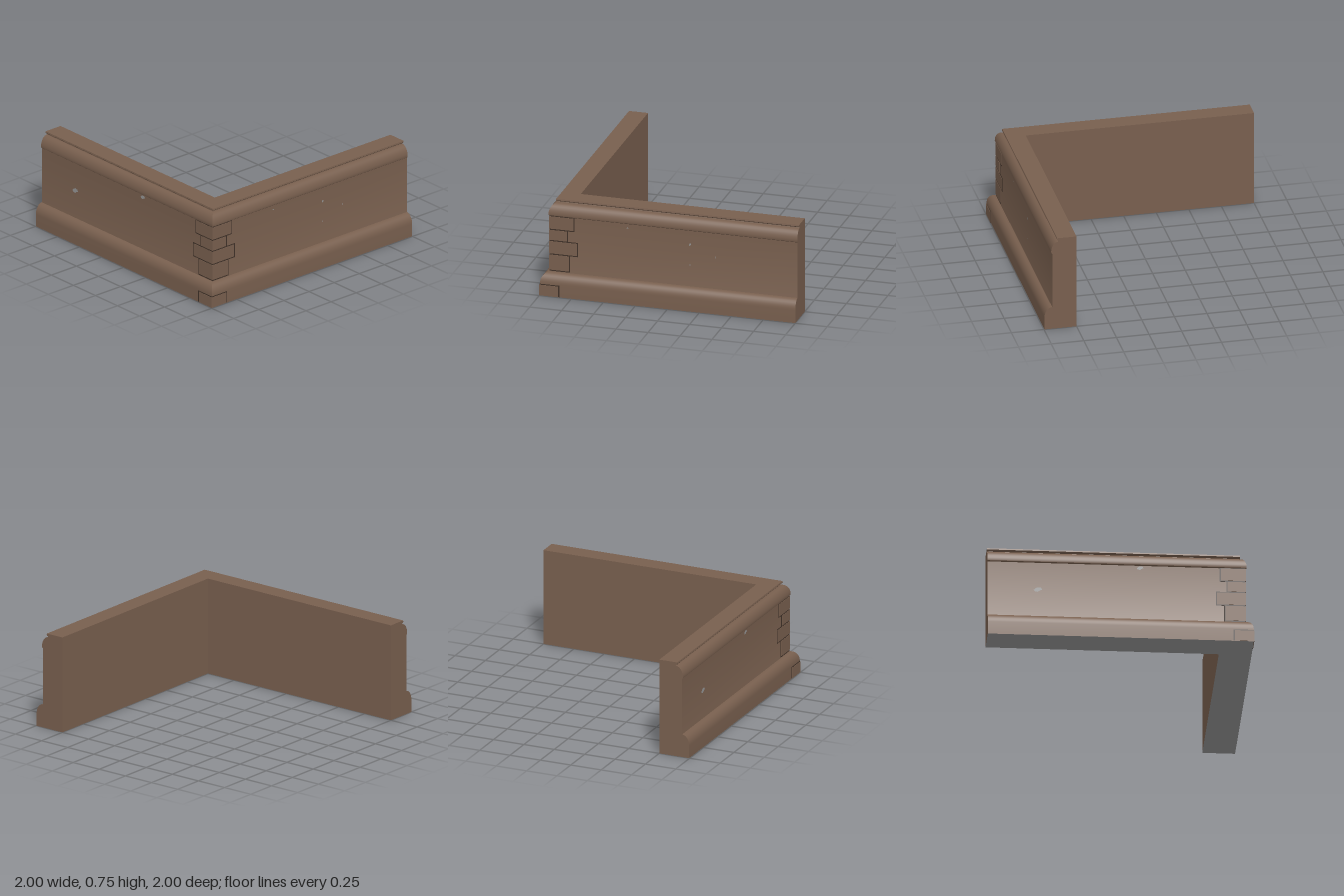
import * as THREE from 'three';
import { toCreasedNormals } from 'three/addons/utils/BufferGeometryUtils.js';

const material = (name, color, side = THREE.FrontSide) => {
  const m = new THREE.MeshStandardMaterial({ color, side });
  m.name = name;
  return m;
};

// Sweeps a profile of [outward, height] points round the mitred corner.
function sweep(profile, capped) {
  const stations = [
    ([o, y]) => [-1, y, o],
    ([o, y]) => [o, y, o],
    ([o, y]) => [o, y, -1],
  ];
  const pos = [];
  for (let s = 0; s < 2; s++) {
    for (let i = 0; i < profile.length - 1; i++) {
      const a = stations[s](profile[i]), b = stations[s + 1](profile[i]);
      const c = stations[s + 1](profile[i + 1]), d = stations[s](profile[i + 1]);
      pos.push(...a, ...b, ...c, ...a, ...c, ...d);
    }
  }
  if (capped) {
    const contour = profile.map(([o, y]) => new THREE.Vector2(o, y));
    for (const [a, b, c] of THREE.ShapeUtils.triangulateShape(contour, [])) {
      for (const i of [a, b, c]) pos.push(...stations[0](profile[i]));
      for (const i of [c, b, a]) pos.push(...stations[2](profile[i]));
    }
  }
  const g = new THREE.BufferGeometry();
  g.setAttribute('position', new THREE.Float32BufferAttribute(pos, 3));
  g.computeVertexNormals();
  return toCreasedNormals(g, 0.5);
}

// Quarter-round points, bulging outward from (o0, y0) to (o1, y1).
function quarterRound(o0, y0, o1, y1, steps = 8) {
  return Array.from({ length: steps + 1 }, (_, i) => {
    const t = (i / steps) * Math.PI / 2;
    return [o1 + (o0 - o1) * Math.cos(t), y0 + (y1 - y0) * Math.sin(t)];
  });
}

export function createModel() {
  const model = new THREE.Group();
  model.name = 'cornerWall';
  const brown = material('brown', 0x785f4e);
  const joint = material('dark joint', 0x3f3128);
  const grey = material('grey', 0x969696, THREE.DoubleSide);

  const add = (name, geometry, mat, parent = model) => {
    const mesh = new THREE.Mesh(geometry, mat);
    mesh.name = name;
    parent.add(mesh);
    return mesh;
  };

  // Wall with plinth, rounded mouldings and a thin coping
  const wallFace = 0.935, plinthFace = 0.996;
  add('wall', sweep([
    [plinthFace, 0],
    ...quarterRound(plinthFace, 0.1, 0.937, 0.18),
    [wallFace, 0.188],
    [wallFace, 0.624],
    [0.943, 0.63],
    ...quarterRound(0.945, 0.638, 0.887, 0.722),
    [0.885, 0.728],
    [0.895, 0.733],
    [0.9, 0.739],
    [0.898, 0.75],
    [0.75, 0.75],
    [0.75, 0],
  ], true), brown);
  add('underside', sweep([[0.75, 0], [plinthFace, 0]], false), grey);

  // Box set into both faces of the corner, from inner edge to outer face
  const cornerBox = (name, inner, end, face, y0, y1, mat, parent) => {
    const depth = 0.08, mid = (inner + end) / 2;
    const front = add(name + 'Front', new THREE.BoxGeometry(end - inner, y1 - y0, depth), mat, parent);
    front.position.set(mid, (y0 + y1) / 2, face - depth / 2);
    const side = add(name + 'Side', new THREE.BoxGeometry(depth, y1 - y0, end - inner), mat, parent);
    side.position.set(face - depth / 2, (y0 + y1) / 2, mid);
  };

  // Corner stones: [inner edge, bottom, top, face]
  const stones = [
    [0.853, 0.002, 0.087, 1],
    [0.787, 0.193, 0.314, 0.94],
    [0.724, 0.324, 0.422, 0.94],
    [0.803, 0.432, 0.512, 0.94],
    [0.752, 0.522, 0.621, 0.94],
  ];
  const quoins = new THREE.Group();
  quoins.name = 'cornerStones';
  model.add(quoins);
  const gap = 0.009;
  for (const [inner, y0, y1, face] of stones) {
    const back = face - 0.0025;
    cornerBox('joint', inner - gap, back, back, Math.max(0.002, y0 - gap), y1 + gap * 0.8, joint, quoins);
    cornerBox('stone', inner, face, face, y0, y1, brown, quoins);
  }

  // Small chips in the render: [along, height, width, tall, on right side]
  const outline = [[-0.5, -0.1], [-0.3, -0.45], [0, -0.5], [0.2, -0.2], [0.5, 0], [0.35, 0.4], [0, 0.5], [-0.25, 0.3]];
  const chips = [
    [-0.62, 0.403, 0.065, 0.038, false],
    [0.147, 0.605, 0.05, 0.03, false],
    [-0.16, 0.514, 0.018, 0.02, true],
    [-0.16, 0.35, 0.01, 0.01, true],
    [-0.36, 0.432, 0.006, 0.018, true],
    [0.33, 0.592, 0.014, 0.008, true],
  ];
  for (const [along, y, w, h, right] of chips) {
    const shape = new THREE.Shape(outline.map(([u, v]) => new THREE.Vector2(u * w, v * h)));
    const chip = add('chip', new THREE.ShapeGeometry(shape), grey);
    const face = wallFace + 0.002;
    chip.position.set(right ? face : along, y, right ? along : face);
    if (right) chip.rotation.y = Math.PI / 2;
  }
  return model;
}
